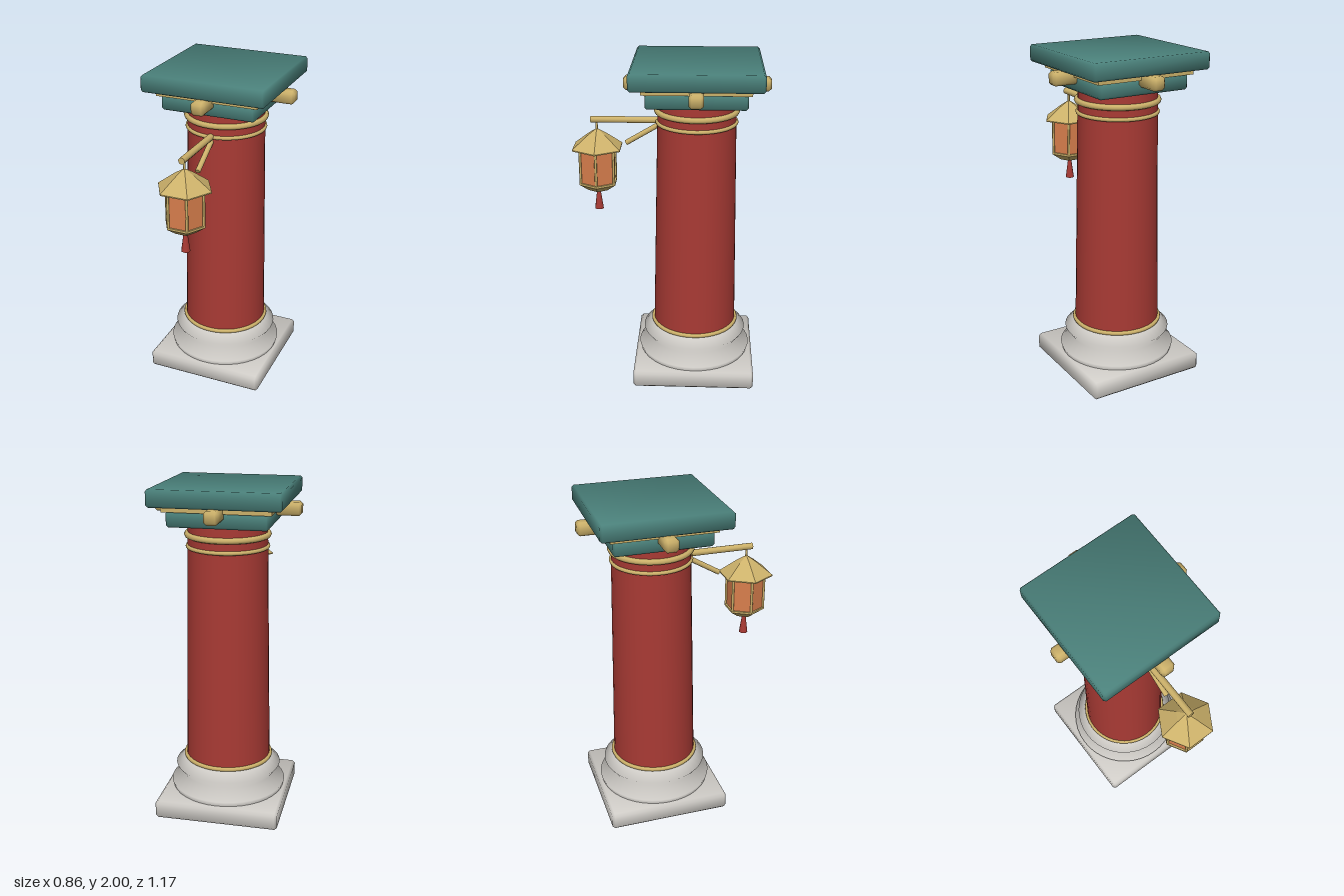
import * as THREE from 'three';
import { ConvexGeometry } from 'three/addons/geometries/ConvexGeometry.js';

const mat = (name, color, flat = false) => {
  const m = new THREE.MeshStandardMaterial({ color, flatShading: flat });
  m.name = name;
  return m;
};

// Box with a single chamfer and soft normals
function chamferBox(w, h, d, c) {
  const half = [w / 2, h / 2, d / 2], pts = [];
  for (const sx of [-1, 1]) for (const sy of [-1, 1]) for (const sz of [-1, 1])
    for (let axis = 0; axis < 3; axis++) {
      const p = [sx, sy, sz].map((s, i) => s * (half[i] - (i === axis ? 0 : c)));
      pts.push(new THREE.Vector3(...p));
    }
  const g = new ConvexGeometry(pts);
  const pos = g.attributes.position, nor = g.attributes.normal;
  for (let i = 0; i < pos.count; i++) {
    const p = [pos.getX(i), pos.getY(i), pos.getZ(i)];
    const n = p.map((v, k) => Math.sign(v) * (Math.abs(Math.abs(v) - half[k]) < 1e-4 ? 0.87 : 0.35));
    nor.setXYZ(i, ...n);
  }
  return g;
}

const lathe = (pts, n) => new THREE.LatheGeometry(pts.map(p => new THREE.Vector2(...p)), n);

export function createModel() {
  const red = mat('red lacquer', 0xa83a34);
  const teal = mat('teal paint', 0x4a807a);
  const gold = mat('gold', 0xccb16a);
  const stone = mat('pale stone', 0xcfccc7);
  const paper = mat('orange paper', 0xd97f4d);

  const model = new THREE.Group();
  const add = (parent, name, geo, material, x = 0, y = 0, z = 0) => {
    const m = new THREE.Mesh(geo, material);
    m.name = name;
    m.position.set(x, y, z);
    parent.add(m);
    return m;
  };
  // Round bar between two points
  const bar = (parent, name, a, b, r, material, sides = 10) => {
    const from = new THREE.Vector3(...a), to = new THREE.Vector3(...b);
    const dir = to.clone().sub(from);
    const m = add(parent, name, new THREE.CylinderGeometry(r, r, dir.length(), sides), material);
    m.position.copy(from).add(to).multiplyScalar(0.5);
    m.quaternion.setFromUnitVectors(new THREE.Vector3(0, 1, 0), dir.normalize());
    return m;
  };

  // Column, set back from the lantern
  const column = new THREE.Group();
  column.name = 'column';
  column.position.z = -0.155;
  model.add(column);

  add(column, 'plinth', chamferBox(0.75, 0.11, 0.75, 0.015), stone, 0, 0.055);
  add(column, 'base', lathe([[0.345, 0.105], [0.355, 0.14], [0.29, 0.205], [0.325, 0.255],
    [0.265, 0.305], [0.24, 0.31]], 40), stone);
  add(column, 'shaft', new THREE.CylinderGeometry(0.232, 0.26, 1.49, 40), red, 0, 1.045);
  for (const [y, r, t] of [[0.315, 0.263, 0.013], [1.635, 0.235, 0.012], [1.705, 0.237, 0.018]])
    add(column, 'goldRing', new THREE.TorusGeometry(r, t, 8, 40), gold, 0, y).rotation.x = Math.PI / 2;

  // Capital: lower block, gold band, top slab
  add(column, 'lowerBlock', chamferBox(0.58, 0.09, 0.58, 0.012), teal, 0, 1.825);
  add(column, 'goldBand', new THREE.BoxGeometry(0.62, 0.03, 0.62), gold, 0, 1.883);
  add(column, 'topSlab', chamferBox(0.755, 0.1, 0.755, 0.012), teal, 0, 1.95);

  // Beam ends on all four sides
  for (let i = 0; i < 4; i++) {
    const a = i * Math.PI / 2;
    add(column, 'beamEnd', chamferBox(0.082, 0.078, 0.17, 0.015), gold,
      Math.sin(a) * 0.347, 1.864, Math.cos(a) * 0.347).rotation.y = a;
  }

  // Bracket arm and brace
  bar(model, 'bracketArm', [0, 1.637, 0.04], [0, 1.637, 0.478], 0.02, gold);
  bar(model, 'bracketBrace', [0, 1.625, 0.045], [0, 1.493, 0.268], 0.016, gold);

  // Hexagonal lantern with corners on the left and right
  const lantern = new THREE.Group();
  lantern.name = 'lantern';
  lantern.position.z = 0.443;
  model.add(lantern);
  const goldFlat = mat('gold', 0xccb16a, true);
  const paperFlat = paper;
  paperFlat.flatShading = true;
  const hex = (name, pts, material) =>
    add(lantern, name, lathe(pts, 6), material).rotation.y = Math.PI / 6;

  bar(lantern, 'hanger', [0, 1.56, 0], [0, 1.63, 0], 0.007, gold, 8);
  hex('roof', [[0, 1.46], [0.165, 1.46], [0.165, 1.467], [0.06, 1.545], [0.012, 1.575], [0, 1.58]], goldFlat);
  hex('paperPanels', [[0.113, 1.245], [0.113, 1.465]], paperFlat);
  hex('bottomPan', [[0, 1.187], [0.065, 1.195], [0.125, 1.238], [0.125, 1.25], [0, 1.25]], goldFlat);
  for (let i = 0; i < 6; i++) {
    const a = i * Math.PI / 3, x = Math.cos(a) * 0.116, z = Math.sin(a) * 0.116;
    bar(lantern, 'cornerPost', [x, 1.24, z], [x, 1.465, z], 0.008, gold, 6);
  }
  add(lantern, 'tassel', new THREE.CylinderGeometry(0.01, 0.027, 0.125, 10), red, 0, 1.128);

  // The lathe's first corner faces +z, so the hexagon is turned by 30 degrees above
  return model;
}
